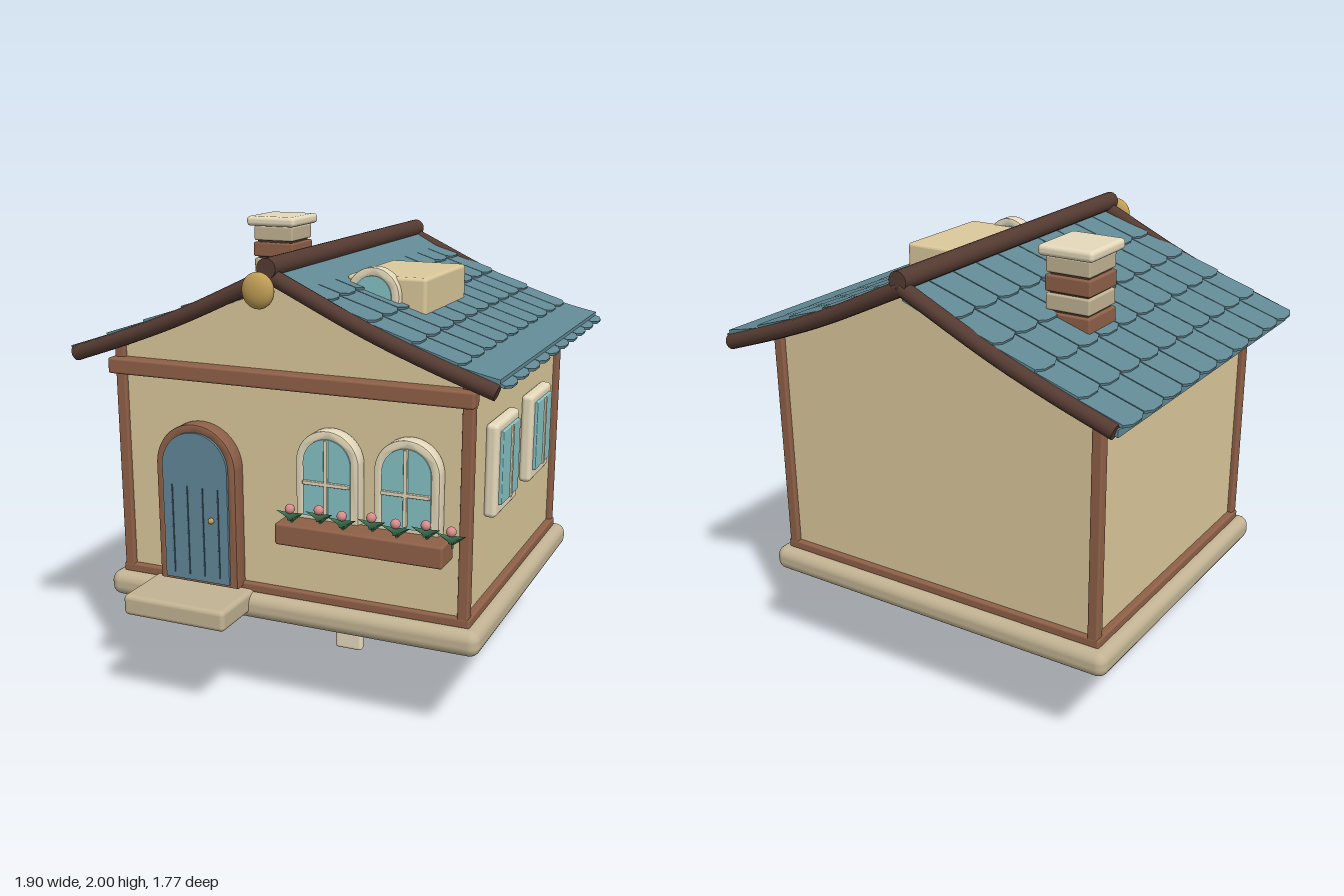
import * as THREE from 'three';
import { toCreasedNormals } from 'three/addons/utils/BufferGeometryUtils.js';
import { RoundedBoxGeometry } from 'three/addons/geometries/RoundedBoxGeometry.js';

const mat = (color, side = THREE.FrontSide) => new THREE.MeshStandardMaterial({ color, side });
const M = {
  wall: mat(0xdcc99c), stone: mat(0xc2b393), trim: mat(0xe6dabc), wood: mat(0x8f6148),
  dark: mat(0x553b32), roof: mat(0x628a95), door: mat(0x62879a), line: mat(0x3f5b69),
  glass: mat(0x86c2c6), gold: mat(0xbf9d55), leaf: mat(0x3f7a55), pink: mat(0xd98b8b),
};

function add(parent, name, geometry, material, x = 0, y = 0, z = 0) {
  const mesh = new THREE.Mesh(geometry, material);
  mesh.name = name;
  mesh.position.set(x, y, z);
  parent.add(mesh);
  return mesh;
}

// rounded box given by its limits on each axis
function box(parent, name, material, [x0, x1], [y0, y1], [z0, z1], r = 0.008) {
  const geo = new RoundedBoxGeometry(x1 - x0, y1 - y0, z1 - z0, 3, r);
  return add(parent, name, geo, material, (x0 + x1) / 2, (y0 + y1) / 2, (z0 + z1) / 2);
}

// round-topped outline centred on x = 0, the arc centre at y = 0
function arch(Type, r, bottom) {
  const s = new Type();
  s.moveTo(-r, bottom);
  s.lineTo(r, bottom);
  s.lineTo(r, 0);
  s.absarc(0, 0, r, 0, Math.PI, false);
  s.lineTo(-r, bottom);
  return s;
}

function extrude(shape, depth, bevel = 0) {
  const geo = new THREE.ExtrudeGeometry(shape, {
    depth: depth - 2 * bevel, curveSegments: 24, bevelEnabled: bevel > 0,
    bevelSize: bevel, bevelThickness: bevel, bevelOffset: -bevel, bevelSegments: 2,
  });
  geo.translate(0, 0, bevel);
  return toCreasedNormals(geo, 0.6);
}

function archFrame(rOut, rIn, bottom, sill, depth) {
  const s = arch(THREE.Shape, rOut, bottom);
  s.holes.push(arch(THREE.Path, rIn, sill));
  return extrude(s, depth, 0.006);
}

function archWindow(parent, name, x, y, z, r, bottom) {
  const g = new THREE.Group();
  g.name = name;
  g.position.set(x, y, z);
  parent.add(g);
  const inner = r - 0.035;
  add(g, 'windowFrame', archFrame(r, inner, bottom, bottom + 0.03, 0.065), M.trim);
  add(g, 'windowGlass', extrude(arch(THREE.Shape, inner + 0.002, bottom + 0.02), 0.06), M.glass, 0, 0, 0.01);
  box(g, 'mullion', M.trim, [-0.008, 0.008], [bottom + 0.03, inner], [0.065, 0.083], 0.003);
  box(g, 'glazingBar', M.trim, [-inner, inner], [-0.088, -0.072], [0.065, 0.083], 0.003);
}

function sideWindow(parent, z) {
  const g = new THREE.Group();
  g.name = 'sideWindow';
  g.position.set(0.76, 1.095, z);
  parent.add(g);
  box(g, 'windowFrame', M.trim, [0, 0.055], [-0.195, 0.195], [-0.158, 0.158], 0.02);
  box(g, 'windowGlass', M.glass, [0.02, 0.068], [-0.145, 0.16], [-0.122, 0.122], 0.004);
  box(g, 'mullion', M.trim, [0.06, 0.076], [-0.145, 0.16], [-0.009, 0.009], 0.003);
}

const SLOPE = 0.375, RIDGE = 1.87, MID = -0.07, LENGTH = 1.57;

// one roof slope falling towards +x, with its deck, tiles and rafters
function roofSide(parent, side) {
  const g = new THREE.Group();
  g.name = side > 0 ? 'leftRoof' : 'rightRoof';
  g.position.z = MID;
  g.rotation.y = side > 0 ? 0 : Math.PI;
  parent.add(g);

  // the deck on one side rises through the tiles by the ridge and eave
  const top = x => RIDGE - SLOPE * x + (side > 0 ? 0.2 * (x - 0.18) * (x - 0.74) : -0.015);
  const pts = [];
  for (let i = 0; i <= 16; i++) pts.push(new THREE.Vector2(0.915 * i / 16, top(0.915 * i / 16)));
  for (let i = 16; i >= 0; i--) pts.push(new THREE.Vector2(0.915 * i / 16, top(0.915 * i / 16) - 0.03));
  add(g, 'roofDeck', extrude(new THREE.Shape(pts), LENGTH), M.roof, 0, 0, -LENGTH / 2);

  const tiles = new THREE.Group();
  tiles.name = 'roofTiles';
  tiles.position.y = RIDGE;
  tiles.rotation.z = -Math.atan(SLOPE);
  g.add(tiles);
  const pitch = LENGTH / 10, h = pitch / 2 - 0.003, len = 0.24;
  const tile = extrude(new THREE.Shape([
    [0, -h], [len - 0.018, -h], [len, -h * 0.45], [len, h * 0.45], [len - 0.018, h], [0, h],
  ].map(p => new THREE.Vector2(...p))), 0.012);
  tile.rotateX(Math.PI / 2);
  for (let row = 0; row < 5; row++)
    for (let c = 0; c < 10; c++)
      add(tiles, 'roofTile', tile, M.roof, 0.01 + row * 0.19, 0, (c - 4.5) * pitch).rotation.z = 0.05;

  const path = new THREE.CatmullRomCurve3([[0, 1.875], [0.4, 1.69], [0.65, 1.592], [0.9, 1.505]]
    .map(([x, y]) => new THREE.Vector3(x, y, 0)));
  for (const s of [-1, 1]) {
    add(g, 'rafter', new THREE.TubeGeometry(path, 20, 0.032, 12), M.dark, 0, 0, s * 0.785);
    const end = add(g, 'rafterEnd', new THREE.CylinderGeometry(0.032, 0.032, 0.012, 12), M.dark, 0.9, 1.505, s * 0.785);
    end.rotation.z = Math.PI / 2 - 0.34;
  }
}

export function createModel() {
  const house = new THREE.Group();
  house.name = 'cottage';

  // stand and base
  box(house, 'standPost', M.trim, [-0.07, 0.065], [0, 0.43], [-0.08, -0.04], 0.015);
  const bar = add(house, 'standBar', new THREE.CylinderGeometry(0.016, 0.016, 0.28, 12), M.wood, 0, 0.411, -0.06);
  bar.rotation.z = Math.PI / 2;
  box(house, 'foundation', M.stone, [-0.845, 0.845], [0.41, 0.52], [-0.78, 0.66], 0.045);
  box(house, 'doorStep', M.stone, [-0.63, -0.155], [0.44, 0.53], [0.58, 0.88], 0.02);

  // walls, gable and timber
  box(house, 'walls', M.wall, [-0.765, 0.765], [0.5, 1.515], [-0.71, 0.59], 0.004);
  const gable = new THREE.Shape([[-0.775, 1.51], [0.775, 1.51], [0, 1.85]].map(p => new THREE.Vector2(...p)));
  add(house, 'gable', extrude(gable, 1.3), M.wall, 0, 0, -0.71);
  box(house, 'bottomTrim', M.wood, [-0.795, 0.795], [0.515, 0.557], [-0.732, 0.612], 0.01);
  for (const x of [-0.765, 0.765])
    for (const z of [-0.708, 0.588])
      box(house, 'cornerPost', M.wood, [x - 0.023, x + 0.023], [0.54, 1.53], [z - 0.023, z + 0.023], 0.008);
  box(house, 'frontBeam', M.wood, [-0.8, 0.8], [1.413, 1.48], [0.58, 0.65], 0.01);

  // door
  const door = new THREE.Group();
  door.name = 'door';
  door.position.set(-0.39, 1.05, 0.585);
  house.add(door);
  add(door, 'doorFrame', archFrame(0.185, 0.15, -0.51, -0.488, 0.075), M.wood);
  add(door, 'doorLeaf', extrude(arch(THREE.Shape, 0.152, -0.495), 0.085), M.door);
  for (const x of [-0.108, -0.036, 0.036, 0.108])
    box(door, 'plankLine', M.line, [x - 0.003, x + 0.003], [-0.47, -0.08], [0.08, 0.089], 0.001);
  add(door, 'doorKnob', new THREE.SphereGeometry(0.013, 16, 12), M.gold, 0.078, -0.215, 0.094);

  // windows
  for (const x of [0.205, 0.54]) archWindow(house, 'frontWindow', x, 1.135, 0.59, 0.135, -0.24);
  for (const z of [0.212, -0.308]) sideWindow(house, z);

  // flower box
  box(house, 'flowerBox', M.wood, [0.022, 0.727], [0.81, 0.9], [0.63, 0.76], 0.01);
  const leaf = new THREE.ConeGeometry(0.028, 0.075, 4);
  for (let i = 0; i < 7; i++) {
    const x = 0.08 + i * 0.112;
    const plant = new THREE.Group();
    plant.name = 'flower';
    plant.position.set(x, 0.925, i % 2 ? 0.69 : 0.72);
    house.add(plant);
    add(plant, 'stem', new THREE.CylinderGeometry(0.005, 0.005, 0.07, 6), M.leaf, 0, 0, 0);
    add(plant, 'blossom', new THREE.SphereGeometry(0.02, 16, 12), M.pink, 0, 0.035, 0.015);
    for (const s of [-1, 1]) {
      const l = add(plant, 'leaf', leaf, M.leaf, s * 0.025, 0.01, 0.01);
      l.rotation.set(0.5, 0, -s * 1.15);
      l.scale.z = 0.7;
    }
  }

  // roof
  roofSide(house, 1);
  roofSide(house, -1);
  const ridge = add(house, 'ridgeBeam', new THREE.CylinderGeometry(0.04, 0.04, 1.63, 16), M.dark, 0, 1.905, -0.065);
  ridge.rotation.x = Math.PI / 2;
  add(house, 'gableOrnament', new THREE.SphereGeometry(0.07, 24, 16), M.gold, 0, 1.832, 0.817).scale.set(0.95, 1, 0.5);

  // dormer
  box(house, 'dormer', M.wall, [0.145, 0.485], [1.66, 1.837], [-0.185, 0.315], 0.015);
  const dormer = new THREE.Group();
  dormer.name = 'dormerFront';
  dormer.position.set(0.27, 1.762, 0.29);
  house.add(dormer);
  add(dormer, 'dormerFrame', archFrame(0.113, 0.078, -0.08, -0.06, 0.057), M.trim);
  add(dormer, 'dormerGlass', extrude(arch(THREE.Shape, 0.08, -0.07), 0.062), M.glass);

  // chimney of alternating courses
  for (let i = 0; i < 5; i++) {
    const y = 1.592 + i * 0.074, e = i % 2 ? 0.003 : 0;
    box(house, 'chimneyCourse', i % 2 ? M.wood : M.stone,
      [-0.553 - e, -0.357 + e], [y, y + 0.066], [-0.425 - e, -0.217 + e], 0.008);
  }
  box(house, 'chimneyCore', M.dark, [-0.54, -0.37], [1.58, 1.97], [-0.412, -0.23], 0.004);
  box(house, 'chimneyCap', M.trim, [-0.578, -0.334], [1.955, 2], [-0.454, -0.186], 0.018);

  return house;
}
